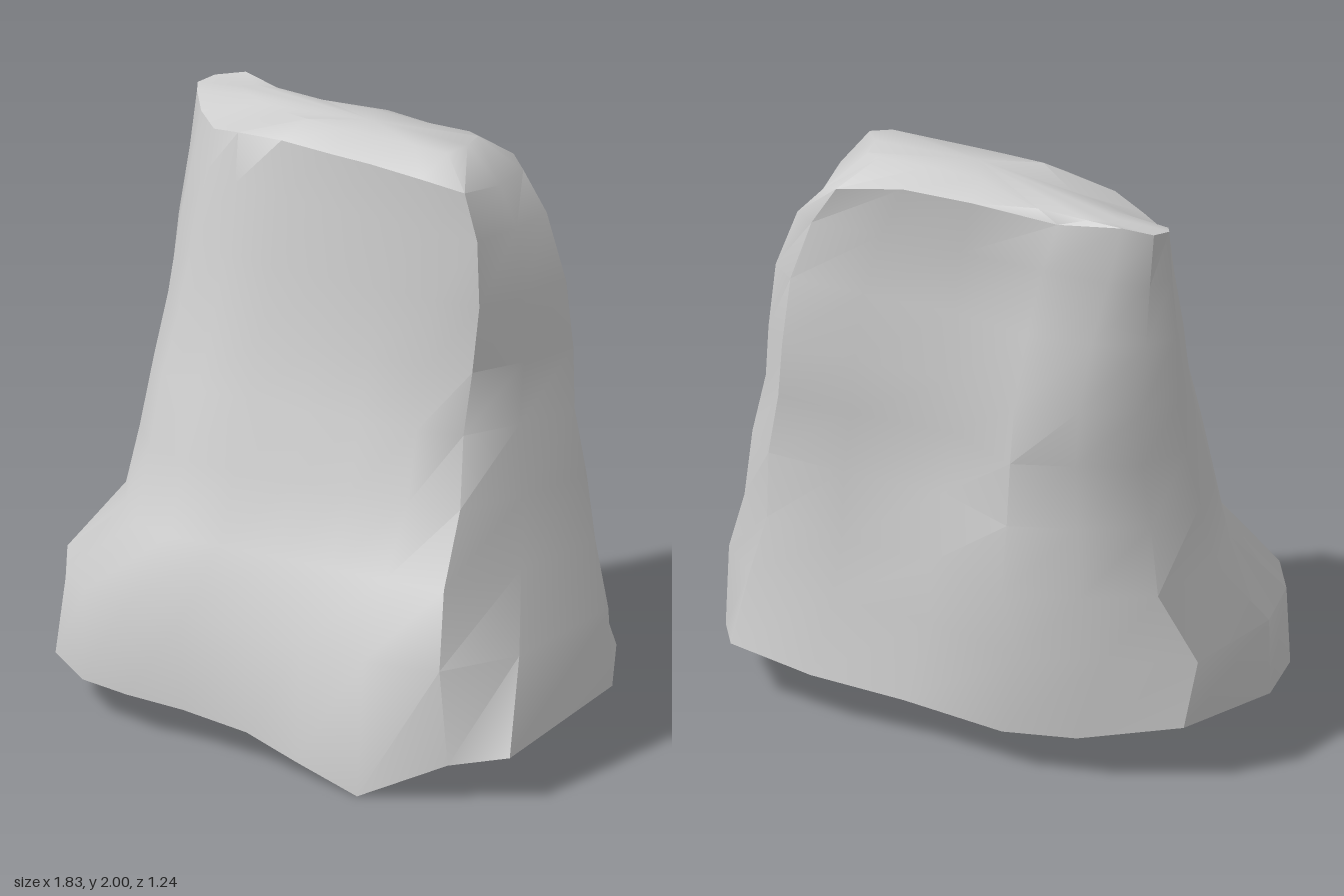
import * as THREE from 'three';
import { toCreasedNormals } from 'three/addons/utils/BufferGeometryUtils.js';

// Outlines [x, z] at four heights, starting at the front and running
// along the front, the left flank (-x), the back and the right flank (+x)
const base = [
  [0.46, 0.61], [0.2, 0.56], [0, 0.53], [-0.25, 0.51], [-0.46, 0.51], [-0.66, 0.45],
  [-0.8, 0.38], [-0.89, 0.18], [-0.91, -0.04], [-0.78, -0.46], [-0.45, -0.57], [-0.2, -0.6],
  [0.17, -0.54], [0.5, -0.53], [0.8, -0.48], [0.9, -0.28], [0.91, 0.4], [0.73, 0.49],
];
const lower = [
  [0.4, 0.35], [0.2, 0.35], [0, 0.35], [-0.2, 0.36], [-0.38, 0.37], [-0.53, 0.32],
  [-0.65, 0.18], [-0.73, 0.05], [-0.76, -0.15], [-0.68, -0.44], [-0.45, -0.55], [-0.2, -0.62],
  [0.1, -0.5], [0.42, -0.46], [0.7, -0.41], [0.83, -0.3], [0.75, 0.05], [0.62, 0.34],
];
const middle = [
  [0.4, 0.1], [0.2, 0.12], [0, 0.13], [-0.2, 0.14], [-0.38, 0.15], [-0.54, 0.09],
  [-0.64, -0.02], [-0.68, -0.12], [-0.69, -0.25], [-0.6, -0.4], [-0.4, -0.48], [-0.2, -0.54],
  [0.05, -0.42], [0.4, -0.42], [0.66, -0.4], [0.75, -0.29], [0.66, -0.1], [0.55, 0.06],
];
const crown = [
  [0.35, -0.01], [0.15, -0.02], [0, -0.03], [-0.2, -0.05], [-0.38, -0.08], [-0.5, -0.13],
  [-0.6, -0.22], [-0.65, -0.28], [-0.67, -0.32], [-0.64, -0.38], [-0.54, -0.41], [-0.3, -0.38],
  [0, -0.4], [0.25, -0.38], [0.48, -0.39], [0.54, -0.35], [0.55, -0.18], [0.52, 0],
];
const count = base.length;

// Heights of the uneven lower and upper rims
const baseY = [0, 0.05, 0.1, 0.12, 0.13, 0.12, 0.16, 0.14, 0.14,
  0.2, 0.15, 0.14, 0.15, 0.17, 0.2, 0.15, 0.15, 0.12];
const crownY = [1.92, 1.93, 1.93, 1.93, 1.91, 1.88, 1.89, 1.93, 1.94,
  1.95, 1.97, 1.92, 1.95, 1.94, 1.9, 1.87, 1.88, 1.91];

// Levels: [height, left x, right x, front z, back z]
const levels = [
  [0.13, -0.91, 0.91, 0.62, -0.61],
  [0.43, -0.92, 0.9, 0.53, -0.61],
  [0.65, -0.76, 0.83, 0.37, -0.62],
  [0.88, -0.73, 0.81, 0.27, -0.57],
  [1.1, -0.7, 0.76, 0.19, -0.55],
  [1.3, -0.69, 0.74, 0.11, -0.53],
  [1.53, -0.68, 0.72, 0.07, -0.46],
  [1.75, -0.67, 0.64, 0.02, -0.42],
  [1.92, -0.67, 0.54, 0, -0.41],
];

// Scale an outline to 0..1 in both directions
function normalise(outline) {
  const range = (k) => {
    const v = outline.map((p) => p[k]);
    return [Math.min(...v), Math.max(...v)];
  };
  const [x0, x1] = range(0), [z0, z1] = range(1);
  return outline.map(([x, z]) => [(x - x0) / (x1 - x0), (z - z0) / (z1 - z0)]);
}

function createRockGeometry() {
  const outlines = [base, lower, middle, crown].map(normalise);
  const anchors = [0.13, 0.6, 1, 1.92];
  const { lerp } = THREE.MathUtils;
  const vertices = [], index = [];

  // Underside: a drawn-in ring, slightly lower than the rim
  base.forEach(([x, z], i) => vertices.push(x * 0.82, Math.max(0, baseY[i] - 0.03), z * 0.82));

  // Flanks: blended outlines stretched to the width and depth of each level
  levels.forEach(([y, left, right, front, back], k) => {
    const s = y < anchors[1] ? 0 : y < anchors[2] ? 1 : 2;
    const [a, b] = [outlines[s], outlines[s + 1]];
    const f = (y - anchors[s]) / (anchors[s + 1] - anchors[s]);
    const t = s === 2 ? f * f : f;
    for (let i = 0; i < count; i++) {
      const h = k === 0 ? baseY[i] : k === levels.length - 1 ? crownY[i] : y;
      vertices.push(
        lerp(left, right, lerp(a[i][0], b[i][0], t)), h,
        lerp(back, front, lerp(a[i][1], b[i][1], t)));
    }
  });

  // Rounded cap: a drawn-in ring, lower and further back at the left
  for (const [x, z] of crown) {
    const px = x * 0.75, atLeft = px < -0.22;
    vertices.push(px, atLeft ? 1.955 : 1.99, lerp(atLeft ? -0.34 : -0.2, z, 0.5));
  }

  const rings = levels.length + 2;
  for (let k = 0; k < rings - 1; k++) {
    for (let i = 0; i < count; i++) {
      const j = (i + 1) % count;
      const a = k * count + i, b = k * count + j;
      index.push(a, a + count, b, b, a + count, b + count);
    }
  }

  // Close the top and the underside with fans
  const top = vertices.length / 3;
  vertices.push(0.05, 2, -0.2, 0, 0.12, 0);
  const last = (rings - 1) * count;
  for (let i = 0; i < count; i++) {
    const j = (i + 1) % count;
    index.push(last + i, top, last + j, i, j, top + 1);
  }

  const geometry = new THREE.BufferGeometry();
  geometry.setAttribute('position', new THREE.Float32BufferAttribute(vertices, 3));
  geometry.setIndex(index);
  return toCreasedNormals(geometry, 0.75);
}

export function createModel() {
  const group = new THREE.Group();
  group.name = 'boulder';
  const rock = new THREE.Mesh(
    createRockGeometry(),
    new THREE.MeshStandardMaterial({ color: 0xcccccc }));
  rock.name = 'rock';
  group.add(rock);
  return group;
}
